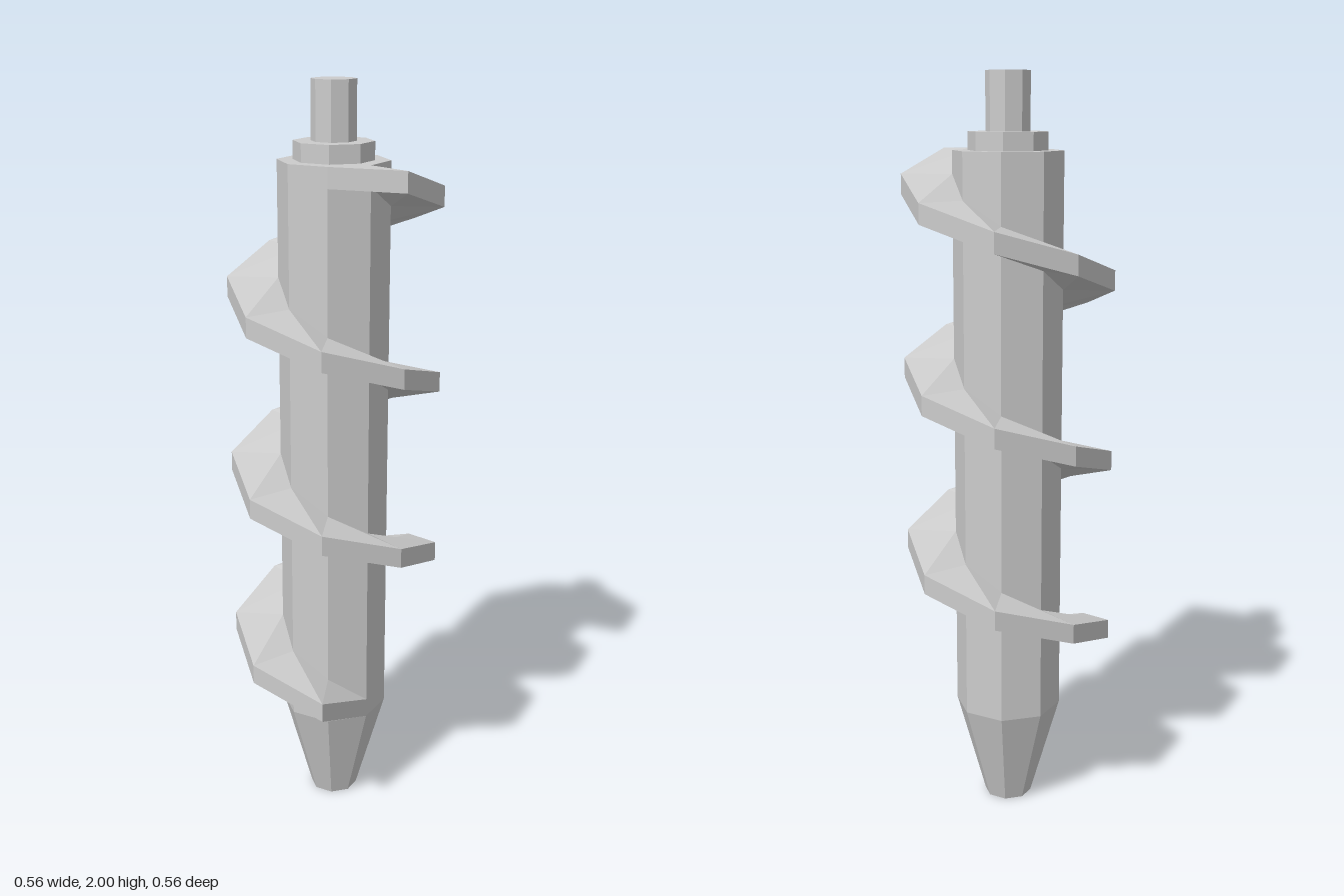
import * as THREE from 'three';

const SIDES = 8;
const CORE_R = 0.145, FLIGHT_R = 0.28;
const CORE_BOTTOM = 0.28, CORE_TOP = 1.803;
const STEP_Y = 0.0605, THICK = 0.053, LAST = 24; // three turns of eight steps

const material = new THREE.MeshStandardMaterial({ color: 0xcccccc, flatShading: true });

function addMesh(group, name, geometry) {
  const mesh = new THREE.Mesh(geometry, material);
  mesh.name = name;
  group.add(mesh);
}

// Eight-sided section between two heights
function addSection(group, name, rTop, rBottom, y0, y1) {
  const geometry = new THREE.CylinderGeometry(rTop, rBottom, y1 - y0, SIDES);
  geometry.translate(0, (y0 + y1) / 2, 0);
  addMesh(group, name, geometry);
}

// Screw blade: rectangular cross-sections climbing round the core
function flightGeometry() {
  const point = (k, r, y) => {
    const a = (k * Math.PI * 2) / SIDES;
    return new THREE.Vector3(-Math.sin(a) * r, y, Math.cos(a) * r);
  };
  const section = (kIn, kOut, rOut, y) => [
    point(kIn, CORE_R, y), point(kOut, rOut, y),
    point(kOut, rOut, y + THICK), point(kIn, CORE_R, y + THICK),
  ];

  // The blade grows out of the core at its foot and is cut obliquely at its top
  const sections = [section(0, 0, CORE_R, CORE_BOTTOM)];
  for (let k = 1; k <= LAST; k++) {
    sections.push(section(k, k, FLIGHT_R, CORE_TOP - THICK - (LAST - k) * STEP_Y));
  }
  sections.push(section(LAST + 1, LAST, FLIGHT_R, CORE_TOP - THICK));

  const positions = [];
  const triangle = (a, b, c) => {
    if (new THREE.Triangle(a, b, c).getArea() < 1e-7) return;
    for (const p of [a, b, c]) positions.push(p.x, p.y, p.z);
  };
  const quad = (a, b, c, d) => { triangle(a, b, c); triangle(a, c, d); };

  for (let i = 0; i < sections.length - 1; i++) {
    const s = sections[i], t = sections[i + 1];
    for (let j = 0; j < 3; j++) quad(s[j], s[j + 1], t[j + 1], t[j]);
  }
  quad(...sections[sections.length - 1]);

  const geometry = new THREE.BufferGeometry();
  geometry.setAttribute('position', new THREE.Float32BufferAttribute(positions, 3));
  geometry.computeVertexNormals();
  return geometry;
}

export function createModel() {
  const group = new THREE.Group();
  group.name = 'augerDrill';
  addSection(group, 'tip', CORE_R, 0.065, 0, CORE_BOTTOM);
  addSection(group, 'core', CORE_R, CORE_R, CORE_BOTTOM, CORE_TOP);
  addSection(group, 'collar', 0.104, 0.104, CORE_TOP, 1.85);
  addSection(group, 'shank', 0.058, 0.058, 1.85, 2);
  addMesh(group, 'spiralBlade', flightGeometry());
  return group;
}
